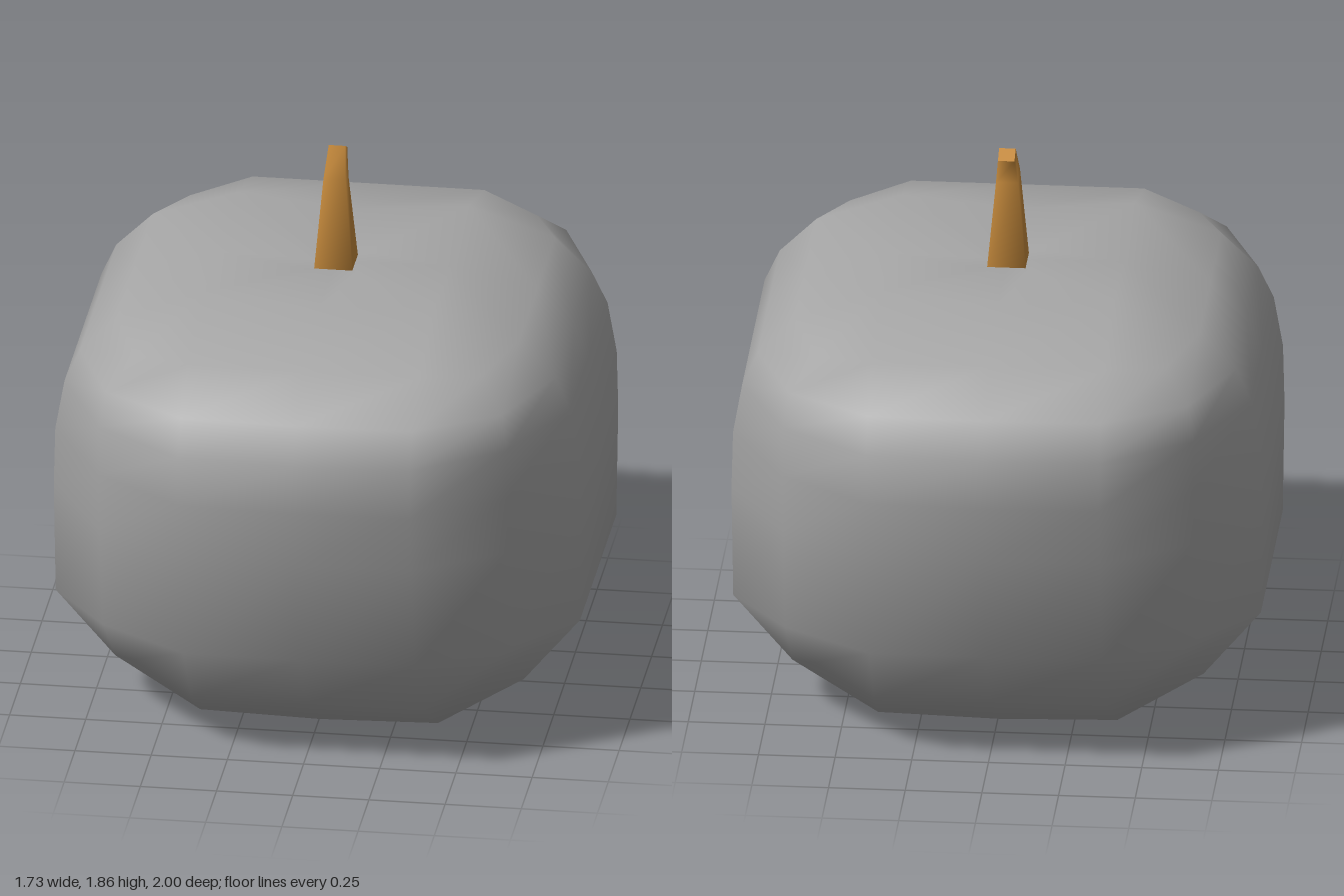
import * as THREE from 'three';
import { mergeVertices } from 'three/addons/utils/BufferGeometryUtils.js';

// Loft closed loops of equal length, listed bottom to top, with smooth normals.
function loft(loops) {
  const n = loops[0].length;
  const index = [];
  for (let r = 0; r < loops.length - 1; r++) {
    for (let i = 0; i < n; i++) {
      const a = r * n + i, b = r * n + (i + 1) % n;
      index.push(a, b, b + n, a, b + n, a + n);
    }
  }
  let geo = new THREE.BufferGeometry();
  geo.setAttribute('position', new THREE.Float32BufferAttribute(loops.flat(2), 3));
  geo.setIndex(index);
  geo = mergeVertices(geo, 1e-4);
  // Drop the collapsed triangles where loops pinch together
  const idx = geo.index.array, kept = [];
  for (let i = 0; i < idx.length; i += 3) {
    const [a, b, c] = [idx[i], idx[i + 1], idx[i + 2]];
    if (a !== b && b !== c && a !== c) kept.push(a, b, c);
  }
  geo.setIndex(kept);
  geo.computeVertexNormals();
  return geo;
}

// Sixteen-point rounded box loop, mirrored over both axes.
// x, z: half extents; ax, az: ends of the flat sides; cx, cz: corner point
function ring({ x, z, ax, az, cx, cz, y, yMid = y, yCorner = y, bulge = 0 }) {
  const q = [[0, yMid, z + bulge], [ax, y, z], [cx, yCorner, cz], [x, y, az], [x, yMid, 0]];
  const back = ([px, py, pz]) => [px, py, -pz];
  const right = [...q, ...q.slice(0, 4).reverse().map(back)];
  const left = right.slice(1, 8).reverse().map(([px, py, pz]) => [-px, py, pz]);
  return [...right, ...left];
}

const square = (s, y, extra = {}) =>
  ring({ x: s, z: s, ax: s, az: s, cx: s, cz: s, y, ...extra });

export function createModel() {
  const bodyGrey = new THREE.MeshStandardMaterial({ color: 0xa6a6a6 });
  bodyGrey.name = 'bodyGrey';
  const stemBrown = new THREE.MeshStandardMaterial({ color: 0xc68a3c });
  stemBrown.name = 'stemBrown';
  const group = new THREE.Group();

  // Boxy fruit body, wider at the shoulders and dimpled on top
  const body = new THREE.Mesh(loft([
    square(0, 0),
    square(0.39, 0.01, { yMid: 0.0 }),
    ring({ x: 0.67, z: 0.67, ax: 0.38, az: 0.38, cx: 0.58, cz: 0.58, y: 0.18, yCorner: 0.26 }),
    ring({ x: 0.86, z: 0.86, ax: 0.38, az: 0.42, cx: 0.67, cz: 0.67, y: 0.42 }),
    ring({ x: 0.865, z: 0.945, ax: 0.38, az: 0.43, cx: 0.67, cz: 0.76, y: 0.8, bulge: 0.01 }),
    ring({ x: 0.86, z: 0.98, ax: 0.38, az: 0.43, cx: 0.67, cz: 0.775, y: 1.0, bulge: 0.015 }),
    ring({ x: 0.83, z: 0.98, ax: 0.38, az: 0.43, cx: 0.67, cz: 0.775, y: 1.17, bulge: 0.02 }),
    ring({ x: 0.78, z: 0.91, ax: 0.38, az: 0.42, cx: 0.65, cz: 0.74, y: 1.28, bulge: 0.01 }),
    ring({ x: 0.66, z: 0.75, ax: 0.38, az: 0.41, cx: 0.57, cz: 0.64, y: 1.4, yCorner: 1.37 }),
    ring({ x: 0.38, z: 0.4, ax: 0.38, az: 0.4, cx: 0.38, cz: 0.4, y: 1.5, yMid: 1.465 }),
    square(0.08, 1.46),
    square(0, 1.44),
  ]), bodyGrey);
  body.name = 'body';
  group.add(body);

  // Square tapered stem, bent backwards at the tip
  // Each section: half width, front z, front y, back z, back y
  const sections = [
    [0, 0, 1.44, 0, 1.44],
    [0.064, 0.066, 1.44, -0.066, 1.44],
    [0.036, 0.036, 1.765, -0.036, 1.745],
    [0.027, -0.022, 1.86, -0.07, 1.835],
  ];
  const corners = ([w, zf, yf, zb, yb]) => [[-w, yf, zf], [w, yf, zf], [w, yb, zb], [-w, yb, zb]];
  const stem = new THREE.Mesh(loft(sections.map(corners)), stemBrown);
  stem.name = 'stem';
  group.add(stem);

  // Flat cut end of the stem
  const tip = Array(4).fill([0, 1.8475, -0.046]);
  const stemTip = new THREE.Mesh(loft([corners(sections[3]), tip]), stemBrown);
  stemTip.name = 'stemTip';
  group.add(stemTip);

  return group;
}
